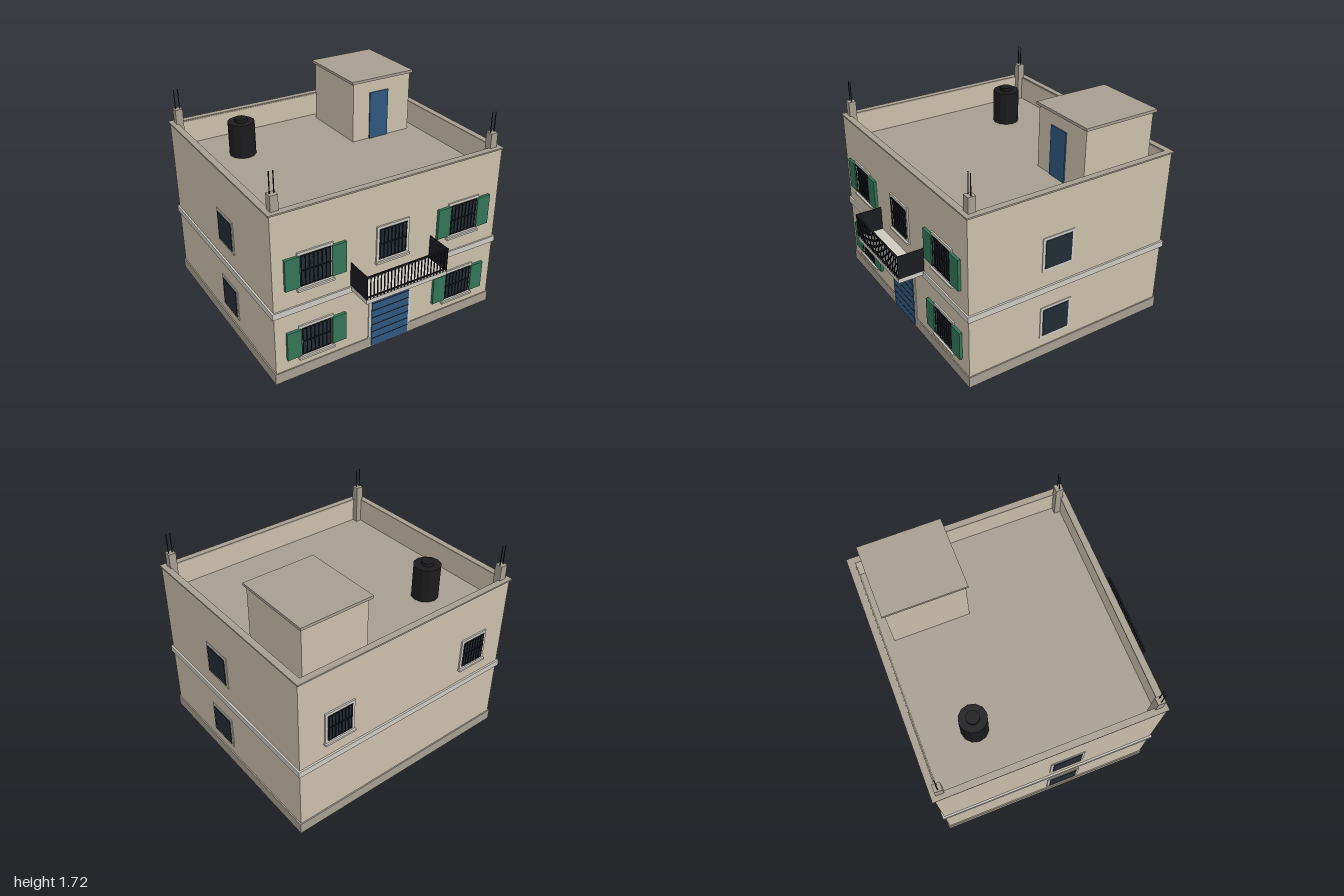
import * as THREE from 'three';

const mat = (color, extra = {}) => new THREE.MeshStandardMaterial({ color, ...extra });
const WALL = mat(0xcbbfaa), STONE = mat(0xa69e90), TRIM = mat(0xcdc9c1), GREEN = mat(0x337558);
const BLUE = mat(0x2f5780), GLASS = mat(0x232c35), IRON = mat(0x1b1c21);
const TANK = mat(0x1b1b1d, { flatShading: true });

// Box given by its minimum and maximum on each axis
function box(parent, name, material, x0, x1, y0, y1, z0, z1) {
  const mesh = new THREE.Mesh(new THREE.BoxGeometry(x1 - x0, y1 - y0, z1 - z0), material);
  mesh.position.set((x0 + x1) / 2, (y0 + y1) / 2, (z0 + z1) / 2);
  mesh.name = name;
  parent.add(mesh);
  return mesh;
}

function cylinder(parent, name, material, r, sides, x, y0, y1, z) {
  const mesh = new THREE.Mesh(new THREE.CylinderGeometry(r, r, y1 - y0, sides), material);
  mesh.position.set(x, (y0 + y1) / 2, z);
  mesh.name = name;
  parent.add(mesh);
  return mesh;
}

// Rectangular ring in the xy plane, extruded along +z
function ring(parent, name, material, w, h, border, depth) {
  const rect = (T, a, b) => new T([[-a, -b], [a, -b], [a, b], [-a, b]].map(p => new THREE.Vector2(...p)));
  const shape = rect(THREE.Shape, w / 2, h / 2);
  shape.holes.push(rect(THREE.Path, w / 2 - border, h / 2 - border));
  const mesh = new THREE.Mesh(new THREE.ExtrudeGeometry(shape, { depth, bevelEnabled: false }), material);
  mesh.name = name;
  parent.add(mesh);
  return mesh;
}

// Window centred on its opening, facing +z, with its back on z = 0
function makeWindow(name, w, h, { bars = false, shutters = false } = {}) {
  const g = new THREE.Group();
  g.name = name;
  const a = w / 2, b = h / 2;
  ring(g, 'windowFrame', TRIM, w + 0.045, h + 0.045, 0.0225, bars ? 0.012 : 0.006);
  box(g, 'glass', GLASS, -a, a, -b, b, -0.005, bars ? 0.005 : 0.012);
  if (bars) {
    box(g, 'sill', TRIM, -a - 0.028, a + 0.028, -b - 0.036, -b - 0.02, 0, 0.027);
    for (let i = 0; i < 8; i++) {
      const x = -a + 0.006 + i * (w - 0.012) / 7;
      box(g, 'windowBar', IRON, x - 0.003, x + 0.003, -b, b, 0.013, 0.019);
    }
    for (const y of [-b + 0.004, 0, b - 0.004])
      box(g, 'windowCrossBar', IRON, -a, a, y - 0.004, y + 0.004, 0.012, 0.018);
  }
  if (shutters) for (const s of [-1, 1]) {
    const x = s * (a + 0.065);
    box(g, 'shutter', GREEN, x - 0.058, x + 0.058, -b, b, 0.001, 0.023);
  }
  return g;
}

export function createModel() {
  const house = new THREE.Group();
  house.name = 'house';
  const FRONT = 0.785, BACK = -0.965, SIDE = 0.975, ZC = -0.095, ROOF = 1.2;

  // Main body, plinth, floor band
  box(house, 'walls', WALL, -SIDE, SIDE, 0.01, ROOF - 0.01, BACK, FRONT);
  box(house, 'plinth', STONE, -0.985, 0.985, 0, 0.09, -0.975, 0.793);
  box(house, 'floorBand', TRIM, -0.99, 0.99, 0.58, 0.63, -0.98, 0.797);

  // Roof terrace with parapet and coping
  box(house, 'roofDeck', STONE, -0.95, 0.95, ROOF - 0.01, ROOF, -0.945, 0.765);
  const parapet = ring(house, 'parapet', WALL, 1.95, 1.75, 0.04, 0.205);
  parapet.rotation.x = -Math.PI / 2;
  parapet.position.set(0, ROOF - 0.012, -0.09);
  const coping = ring(house, 'coping', STONE, 1.97, 1.775, 0.052, 0.012);
  coping.rotation.x = -Math.PI / 2;
  coping.position.set(0, 1.39, ZC);

  // Column stubs with exposed reinforcing rods
  for (const [x, z] of [[-0.918, -0.915], [-0.918, 0.727], [0.913, 0.727]]) {
    box(house, 'columnStub', STONE, x - 0.03, x + 0.03, ROOF, 1.52, z - 0.03, z + 0.03);
    for (const s of [-1, 1])
      cylinder(house, 'reinforcingRod', IRON, 0.004, 6, x + s * 0.016, 1.5, 1.68, z);
  }

  // Stair house on the roof
  box(house, 'stairHouse', WALL, 0.31, 0.855, ROOF, 1.7, -0.852, -0.245);
  box(house, 'stairHouseRoof', STONE, 0.29, 0.873, 1.7, 1.722, -0.873, -0.23);
  box(house, 'stairHouseDoor', BLUE, 0.465, 0.64, ROOF, 1.6, -0.25, -0.235);

  // Water tank
  cylinder(house, 'waterTank', TANK, 0.106, 12, -0.55, ROOF, 1.475, -0.525);
  cylinder(house, 'waterTankLid', TANK, 0.05, 12, -0.55, 1.47, 1.503, -0.525);

  // Front windows
  const place = (w, x, y, z, turn = 0) => {
    w.position.set(x, y, z);
    w.rotation.y = turn;
    house.add(w);
  };
  for (const x of [-0.645, 0.64]) for (const y of [0.307, 0.912])
    place(makeWindow('shutteredWindow', 0.24, y > 0.5 ? 0.25 : 0.236, { bars: true, shutters: true }), x, y, FRONT);
  place(makeWindow('balconyWindow', 0.236, 0.25, { bars: true }), -0.003, 0.912, FRONT);

  // Back and side windows
  for (const x of [-0.645, 0.64])
    place(makeWindow('backWindow', 0.21, 0.22, { bars: true }), x, 0.9, BACK - 0.005, Math.PI);
  for (const s of [-1, 1]) for (const y of [0.305, 0.902])
    place(makeWindow('sideWindow', 0.228, 0.232), s * SIDE, y, 0.045, s * Math.PI / 2);

  // Front door with dark grooves
  box(house, 'doorFrame', TRIM, -0.195, 0.19, 0.05, 0.49, FRONT - 0.01, 0.792);
  box(house, 'frontDoor', BLUE, -0.17, 0.165, 0.012, 0.46, FRONT - 0.01, 0.799);
  for (let i = 0; i < 6; i++) {
    const y = 0.08 + i * 0.0655;
    box(house, 'doorGroove', IRON, -0.17, 0.165, y - 0.003, y + 0.003, 0.79, 0.801);
  }

  // Balcony
  const balcony = new THREE.Group();
  balcony.name = 'balcony';
  house.add(balcony);
  const X0 = -0.355, X1 = 0.35;
  box(balcony, 'balconySlab', TRIM, X0, X1, 0.6, 0.635, FRONT, 0.996);
  box(balcony, 'topRail', IRON, X0, X1, 0.821, 0.831, 0.988, 1.0);
  box(balcony, 'bottomRail', IRON, X0, X1, 0.652, 0.66, 0.988, 0.998);
  for (let i = 0; i < 25; i++) {
    const x = X0 + 0.004 + i * (X1 - X0 - 0.008) / 24;
    box(balcony, 'baluster', IRON, x - 0.0035, x + 0.0035, 0.635, 0.825, 0.99, 0.997);
  }
  for (const x of [X0, X1 - 0.007])
    box(balcony, 'sidePanel', IRON, x, x + 0.007, 0.635, 0.83, FRONT, 0.996);

  return house;
}
